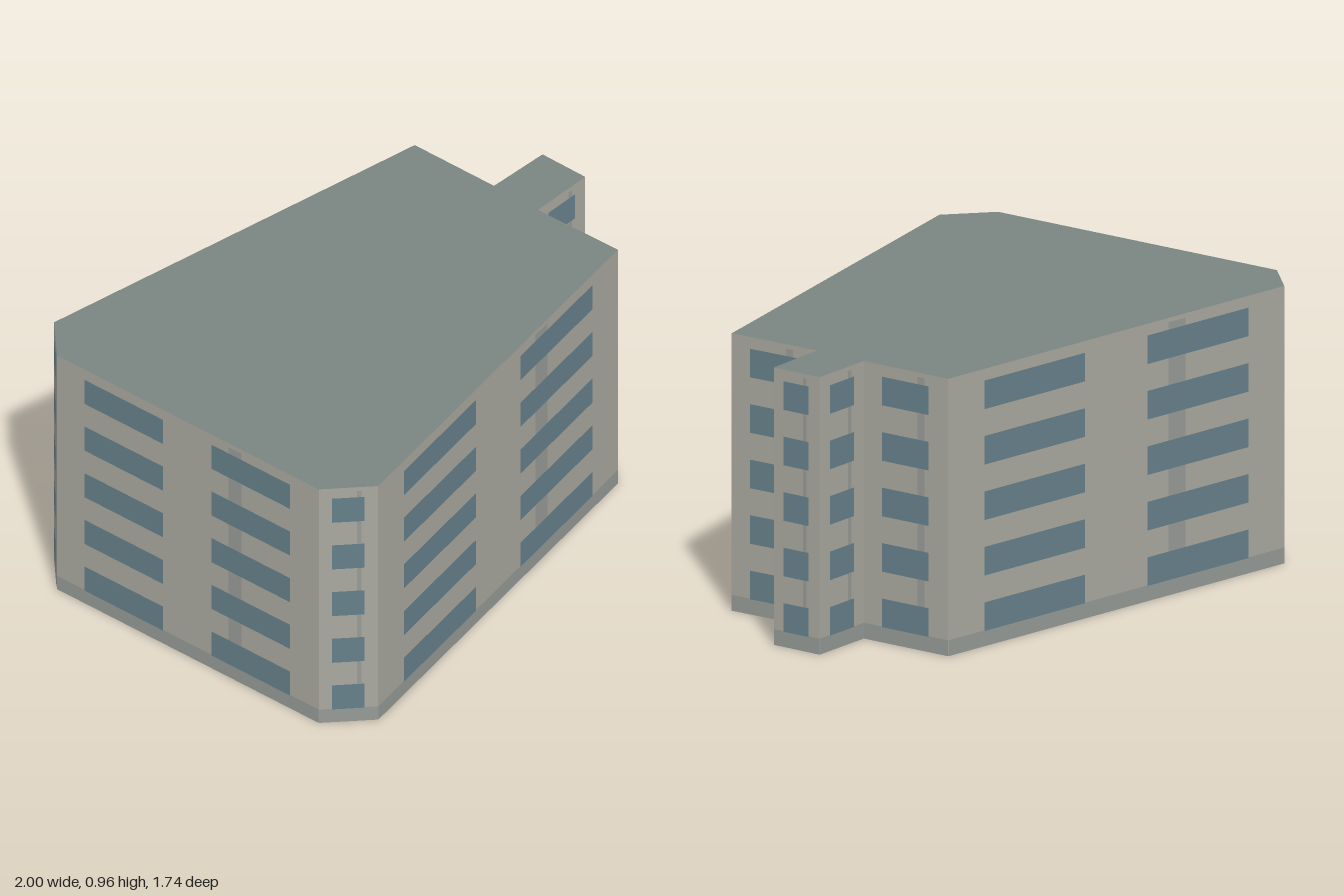
import * as THREE from 'three';

const HEIGHT = 0.96;
const FLOORS = 5;

// Footprint corners [x, z], each wall running left to right seen from outside.
const corners = [
  [-1.0, -0.21], [-0.47, 0.81], [-0.28, 0.865], [0.95, -0.075], [0.785, -0.38],
  [1.0, -0.495], [0.915, -0.665], [0.70, -0.56], [0.54, -0.87], [-0.94, -0.387],
];

const wallMat = new THREE.MeshStandardMaterial({ color: 0xa8a89f, side: THREE.DoubleSide });
const roofMat = new THREE.MeshStandardMaterial({ color: 0x7a8480, side: THREE.DoubleSide });
const baseMat = new THREE.MeshStandardMaterial({ color: 0x959a96 });
const pipeMat = new THREE.MeshStandardMaterial({ color: 0x979a95 });
const glassMat = new THREE.MeshStandardMaterial({ color: 0x66808a });

// Upright rectangle in a wall's own frame: x along the wall, z outward.
function panel(name, x0, x1, y0, y1, z, material) {
  const mesh = new THREE.Mesh(new THREE.PlaneGeometry(x1 - x0, y1 - y0), material);
  mesh.name = name;
  mesh.position.set((x0 + x1) / 2, (y0 + y1) / 2, z);
  return mesh;
}

function createFacade([ax, az], [bx, bz]) {
  const length = Math.hypot(bx - ax, bz - az);
  const facade = new THREE.Group();
  facade.name = 'facade';
  facade.position.set(ax, 0, az);
  facade.rotation.y = Math.atan2(az - bz, bx - ax);

  // Wall, plinth strip and drainpipe stripe
  const wide = length > 0.8;
  const [s0, s1] = wide ? [0.655, 0.705] : [0.64, 0.72];
  facade.add(
    panel('wall', 0, length, 0, HEIGHT, 0, wallMat),
    panel('plinth', 0, length, 0, 0.055, 0.001, baseMat),
    panel('drainpipe', s0 * length, s1 * length, 0.055, 0.945, 0.001, pipeMat),
  );

  // Windows: two columns on long walls, one on short walls
  const columns = wide ? [[0.106, 0.406], [0.592, 0.892]] : [[0.22, 0.77]];
  for (const [u0, u1] of columns) {
    for (let i = 0; i < FLOORS; i++) {
      const y = 0.053 + i * 0.192;
      facade.add(panel('window', u0 * length, u1 * length, y, y + 0.099, 0.002, glassMat));
    }
  }
  return facade;
}

export function createModel() {
  const building = new THREE.Group();
  building.name = 'building';

  corners.forEach((corner, i) => {
    building.add(createFacade(corner, corners[(i + 1) % corners.length]));
  });

  // Flat roof; the underside of the building stays open
  const outline = new THREE.Shape(corners.map(([x, z]) => new THREE.Vector2(x, -z)));
  const roof = new THREE.Mesh(new THREE.ShapeGeometry(outline).rotateX(-Math.PI / 2), roofMat);
  roof.name = 'roof';
  roof.position.y = HEIGHT;
  building.add(roof);

  return building;
}
